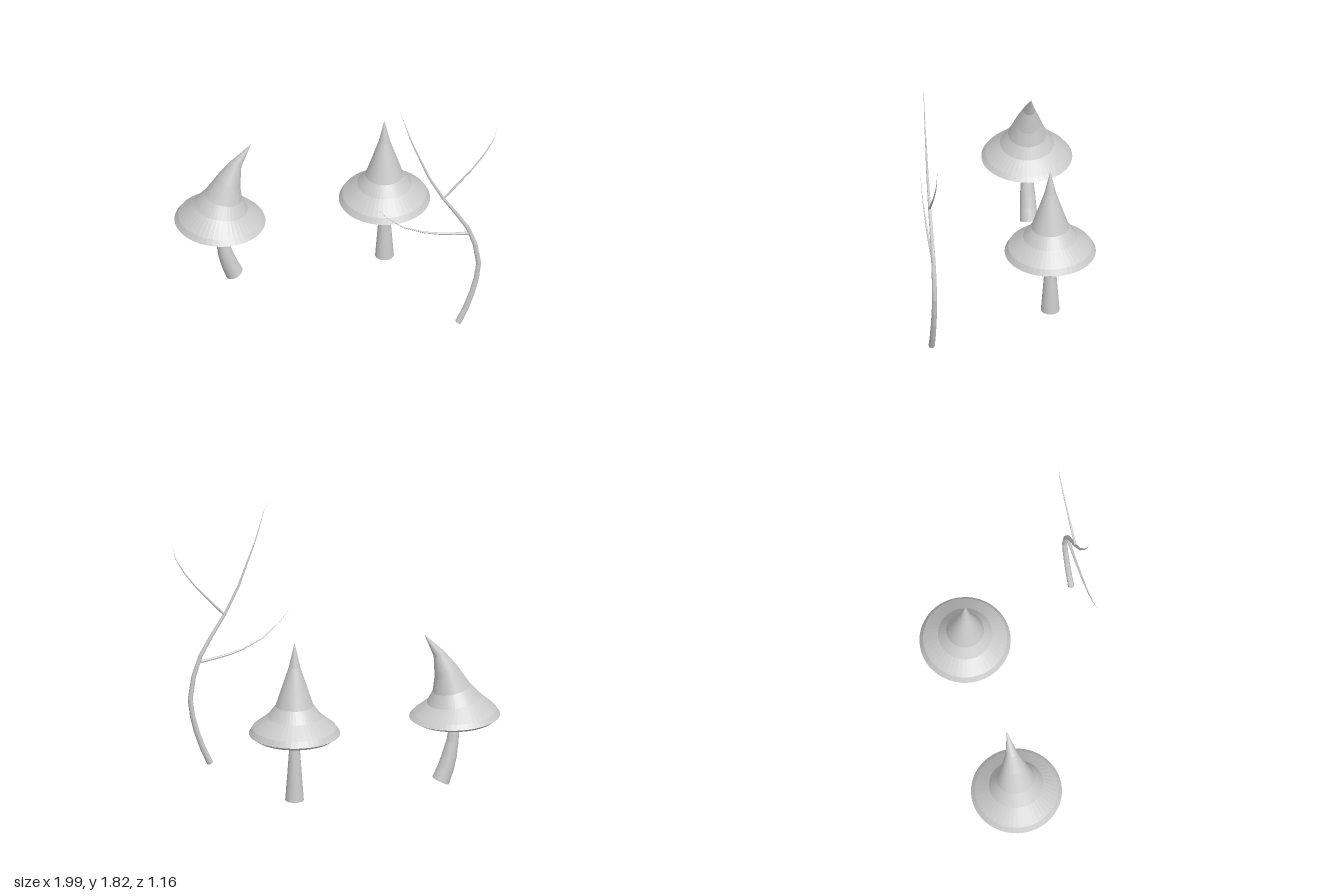
import * as THREE from 'three';

const material = new THREE.MeshStandardMaterial({ color: 0xcccccc, flatShading: true, side: THREE.DoubleSide });

// Skin round rings; each section [leftX, leftY, rightX, rightY] is one ring's diameter in the XY plane
function loft(name, sections, sides) {
  const pos = [], index = [];
  sections.forEach(([lx, ly, rx, ry], i) => {
    const cx = (lx + rx) / 2, cy = (ly + ry) / 2;
    const ax = (rx - lx) / 2, ay = (ry - ly) / 2, r = Math.hypot(ax, ay);
    for (let j = 0; j < sides; j++) {
      const t = (j / sides) * Math.PI * 2;
      pos.push(cx + ax * Math.cos(t), cy + ay * Math.cos(t), r * Math.sin(t));
      if (i === 0) continue;
      const k = (j + 1) % sides, a = (i - 1) * sides, b = i * sides;
      index.push(a + j, b + j, a + k, a + k, b + j, b + k);
    }
  });
  const geo = new THREE.BufferGeometry();
  geo.setAttribute('position', new THREE.Float32BufferAttribute(pos, 3));
  geo.setIndex(index);
  geo.computeVertexNormals();
  const mesh = new THREE.Mesh(geo, material);
  mesh.name = name;
  return mesh;
}

// Upright rings from a [radius, y] profile
const upright = (profile) => profile.map(([r, y]) => [-r, y, r, y]);

// Collapsed ring that closes the end of a loft
const closed = ([lx, ly, rx, ry]) => [(lx + rx) / 2, (ly + ry) / 2, (lx + rx) / 2, (ly + ry) / 2];

// Tapering twig along [x, y, radius] points
function twig(name, points) {
  const sections = points.map(([x, y, r], i) => {
    const p = points[Math.max(i - 1, 0)], q = points[Math.min(i + 1, points.length - 1)];
    const dx = q[0] - p[0], dy = q[1] - p[1], l = Math.hypot(dx, dy);
    const nx = (dy / l) * r, ny = (-dx / l) * r;
    return [x - nx, y - ny, x + nx, y + ny];
  });
  return loft(name, [closed(sections[0]), ...sections], 10);
}

function group(name, x, z, ...parts) {
  const g = new THREE.Group();
  g.name = name;
  g.position.set(x, 0, z);
  g.add(...parts);
  return g;
}

export function createModel() {
  const model = new THREE.Group();
  model.name = 'mushroomsAndTwig';

  // Upright mushroom: recessed underside, rim, pointed hat
  model.add(group('straightMushroom', 0.415, -0.28,
    loft('straightCap', upright([
      [0, 0.485], [0.245, 0.485], [0.27, 0.462], [0.302, 0.485], [0.278, 0.525],
      [0.18, 0.605], [0.125, 0.68], [0.038, 0.95], [0, 1.12],
    ]), 48),
    loft('straightStem', upright([[0, 0.015], [0.062, 0.015], [0.045, 0.24], [0.028, 0.488]]), 32)));

  // Bent mushroom: hat and stem lean towards the middle
  const stem = [
    [-0.655, 0.008, -0.547, 0.06], [-0.688, 0.1, -0.585, 0.14], [-0.71, 0.19, -0.613, 0.215],
    [-0.724, 0.3, -0.643, 0.31], [-0.729, 0.4, -0.662, 0.4], [-0.728, 0.488, -0.672, 0.488],
  ];
  model.add(group('bentMushroom', 0, -0.28,
    loft('bentCap', [
      [-0.7, 0.485, -0.7, 0.485], [-0.945, 0.488, -0.455, 0.482], [-0.97, 0.467, -0.43, 0.46],
      [-1, 0.492, -0.398, 0.478], [-0.975, 0.53, -0.425, 0.505], [-0.87, 0.625, -0.515, 0.575],
      [-0.8, 0.705, -0.552, 0.655], [-0.71, 0.84, -0.564, 0.755], [-0.625, 0.945, -0.555, 0.91],
      [-0.488, 1.075, -0.488, 1.075],
    ], 48),
    loft('bentStem', [closed(stem[0]), ...stem], 32)));

  // Curved bare twig with two side branches
  model.add(group('bareTwig', 0, 0.555,
    twig('mainTwig', [
      [0.727, 0.018, 0.021], [0.775, 0.12, 0.02], [0.82, 0.245, 0.019], [0.85, 0.36, 0.018],
      [0.866, 0.48, 0.017], [0.842, 0.64, 0.016], [0.794, 0.78, 0.014], [0.715, 0.915, 0.012],
      [0.628, 1.05, 0.01], [0.532, 1.235, 0.008], [0.414, 1.545, 0.004], [0.329, 1.83, 0],
    ]),
    twig('lowerBranch', [
      [0.805, 0.738, 0.011], [0.7, 0.75, 0.009], [0.596, 0.768, 0.008], [0.5, 0.793, 0.006],
      [0.356, 0.858, 0.004], [0.249, 0.95, 0.002], [0.174, 1.04, 0],
    ]),
    twig('upperBranch', [
      [0.628, 1.05, 0.008], [0.72, 1.15, 0.007], [0.82, 1.26, 0.005], [0.906, 1.374, 0.004],
      [0.965, 1.475, 0.002], [0.994, 1.58, 0],
    ])));

  return model;
}
